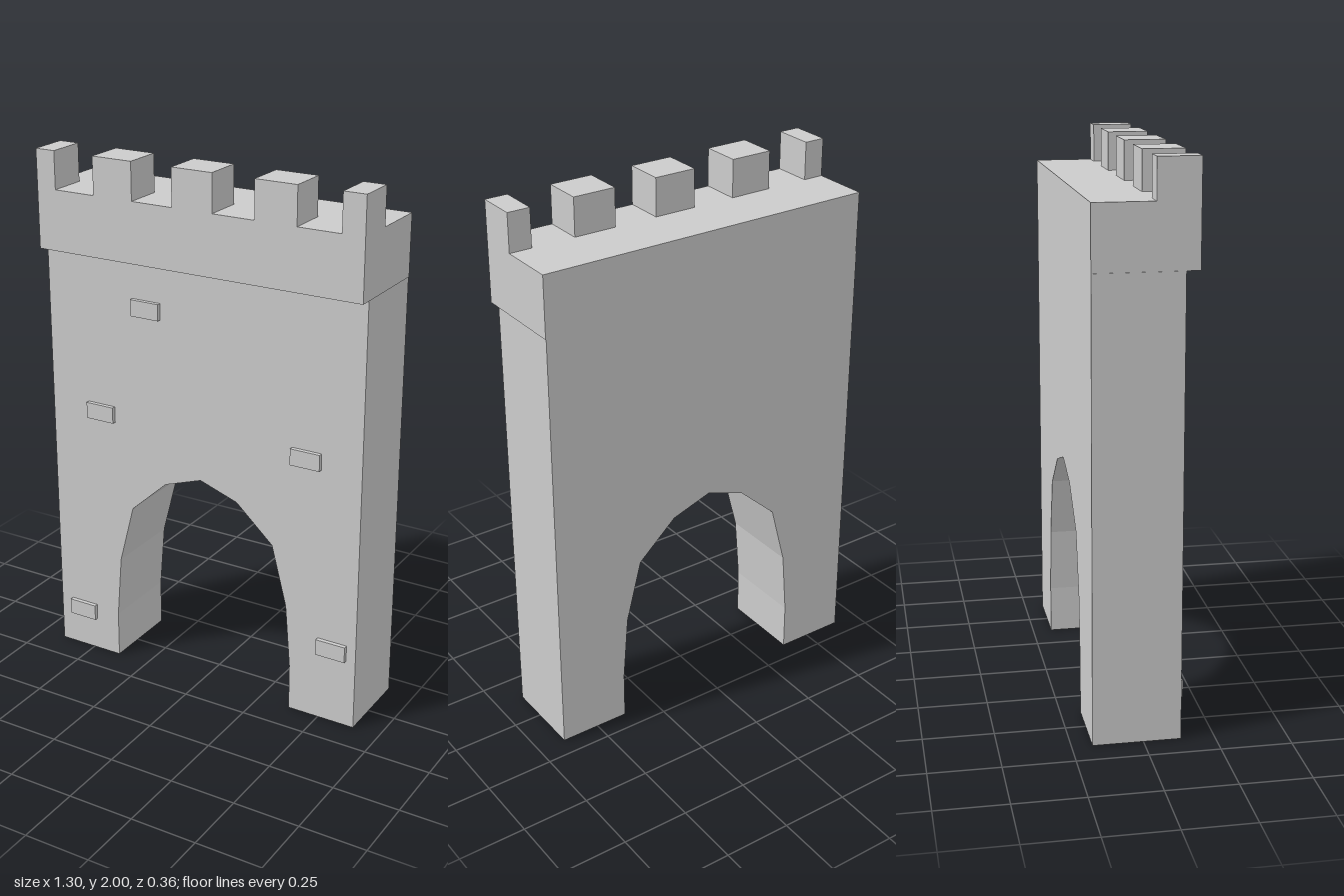
import * as THREE from 'three';

export function createModel() {
  const model = new THREE.Group();
  model.name = 'castleGate';
  const stone = new THREE.MeshStandardMaterial({ color: 0xcccccc, flatShading: true });
  const HALF = 0.647, BACK = -0.178, WALL = 0.132, FRONT = 0.18;

  const add = (name, geometry) => {
    const mesh = new THREE.Mesh(geometry, stone);
    mesh.name = name;
    model.add(mesh);
  };
  // Box given by its lower and upper limits
  const box = (name, x0, x1, y0, y1, z0, z1) => {
    const g = new THREE.BoxGeometry(x1 - x0, y1 - y0, z1 - z0);
    add(name, g.translate((x0 + x1) / 2, (y0 + y1) / 2, (z0 + z1) / 2));
  };

  // Wall with a faceted arched gateway
  const arch = [[0.38, 0], [0.38, 0.18], [0.36, 0.425], [0.3, 0.655], [0.152, 0.79]];
  const outline = [
    [-HALF, 0], ...arch.map(([x, y]) => [-x, y]), [0, 0.842],
    ...[...arch].reverse(), [HALF, 0], [HALF, 1.635], [-HALF, 1.635],
  ];
  const shape = new THREE.Shape(outline.map(([x, y]) => new THREE.Vector2(x - 0.002, y)));
  const wall = new THREE.ExtrudeGeometry(shape, { depth: WALL - BACK, bevelEnabled: false });
  add('archedWall', wall.translate(0, 0, BACK));

  // Overhanging parapet
  box('parapet', -HALF, HALF, 1.635, 1.86, BACK, FRONT);

  // Merlons along the front edge, the end ones half as wide
  for (let i = -2; i <= 2; i++) {
    const c = i * 0.323 - 0.003;
    box('merlon', Math.max(c - 0.08, -HALF), Math.min(c + 0.08, HALF), 1.86, 2, 0.033, FRONT);
  }

  // Raised bricks scattered over the front
  const bricks = [[-0.225, 1.46], [-0.43, 1.025], [0.43, 1.025], [-0.54, 0.163], [0.55, 0.3]];
  for (const [x, y] of bricks) {
    box('raisedBrick', x - 0.058, x + 0.058, y - 0.031, y + 0.031, WALL - 0.01, 0.148);
  }

  return model;
}
